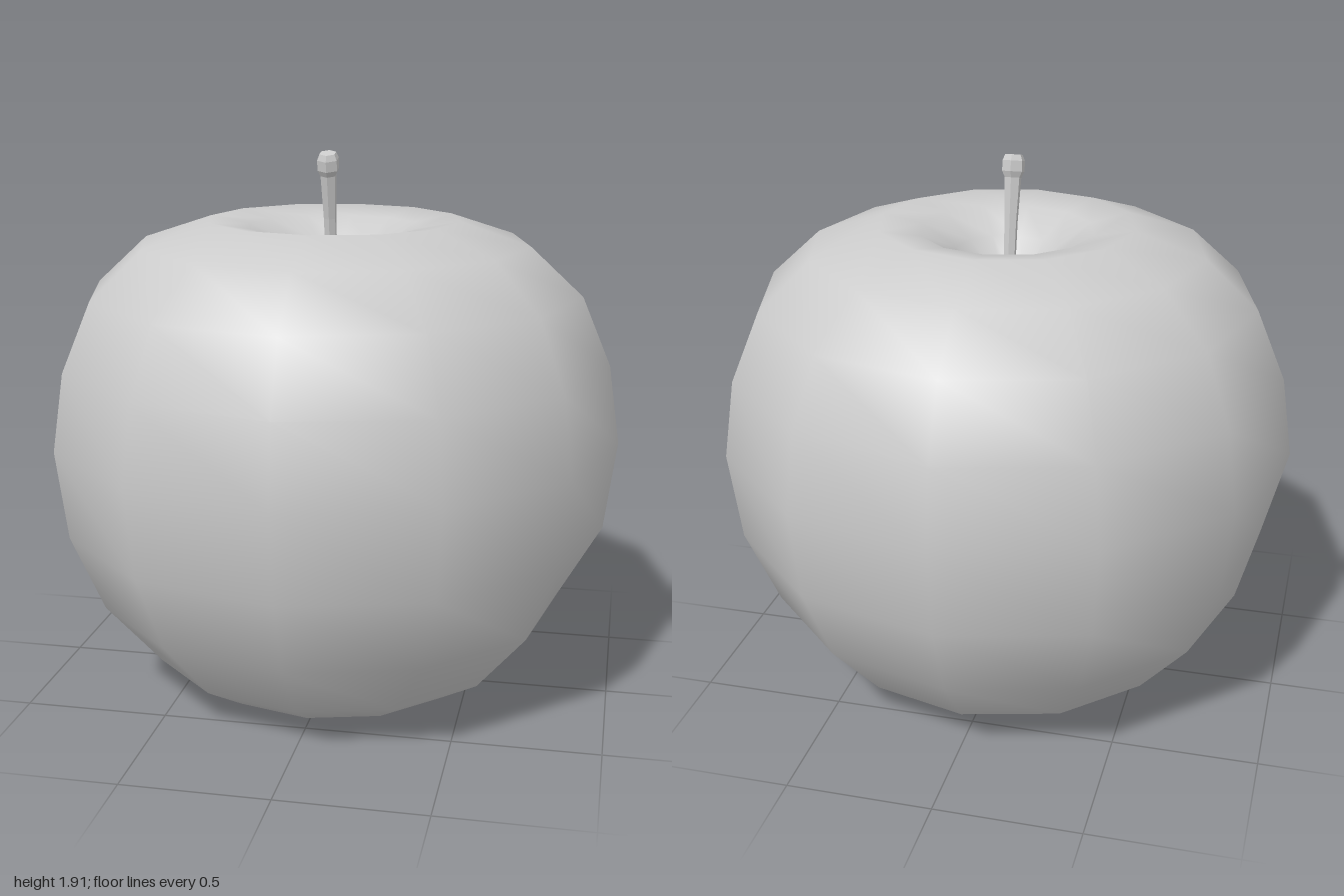
import * as THREE from 'three';
import { mergeVertices } from 'three/addons/utils/BufferGeometryUtils.js';

const SIDES = 12;

// Lathe a profile of [radius, y] pairs, welding the seam and poles
function turned(profile, sides, move) {
  const geo = new THREE.LatheGeometry(profile.map(([r, y]) => new THREE.Vector2(r, y)), sides);
  geo.deleteAttribute('normal');
  geo.deleteAttribute('uv');
  const welded = mergeVertices(geo, 1e-4);
  const pos = welded.attributes.position;
  const v = new THREE.Vector3();
  for (let i = 0; i < pos.count; i++) {
    v.fromBufferAttribute(pos, i);
    move(v);
    pos.setXYZ(i, v.x, v.y, v.z);
  }
  welded.computeVertexNormals();
  return welded;
}

export function createModel() {
  const model = new THREE.Group();
  model.name = 'apple';

  // Fruit: rounded low-sided body with a hollow at the top
  const fruitProfile = [
    [0, 0], [0.25, 0.003], [0.49, 0.03], [0.65, 0.125], [0.845, 0.35],
    [0.96, 0.62], [1, 0.93], [0.96, 1.2], [0.86, 1.435], [0.68, 1.6],
    [0.44, 1.68], [0.3, 1.655], [0.18, 1.58], [0.085, 1.46], [0, 1.4],
  ];
  const fruit = new THREE.Mesh(
    turned(fruitProfile, SIDES, (v) => {
      // Slight hand-shaped flattening low on each flank
      if (v.x > 0.8 && Math.abs(v.z) < 0.01 && v.y < 0.4) v.x -= 0.04;
      if (v.x < -0.8 && Math.abs(v.z) < 0.01 && Math.abs(v.y - 0.62) < 0.05) v.x += 0.04;
      v.z *= 0.987;
    }),
    new THREE.MeshStandardMaterial({ color: 0xcccccc })
  );
  fruit.name = 'fruit';
  model.add(fruit);

  // Stem: six-sided, flared at the tip and leaning forward above the hollow
  const stemProfile = [
    [0, 1.36], [0.02, 1.36], [0.021, 1.52], [0.023, 1.68], [0.029, 1.83],
    [0.039, 1.85], [0.039, 1.885], [0.03, 1.905], [0, 1.905],
  ];
  const stem = new THREE.Mesh(
    turned(stemProfile, 6, (v) => {
      const lean = Math.max(0, v.y - 1.55);
      v.y -= v.z * Math.min(lean, 0.25);
      v.z += -0.03 + lean * 0.18;
      v.x -= 0.015;
    }),
    new THREE.MeshStandardMaterial({ color: 0xcccccc, flatShading: true })
  );
  stem.name = 'stem';
  model.add(stem);

  return model;
}
